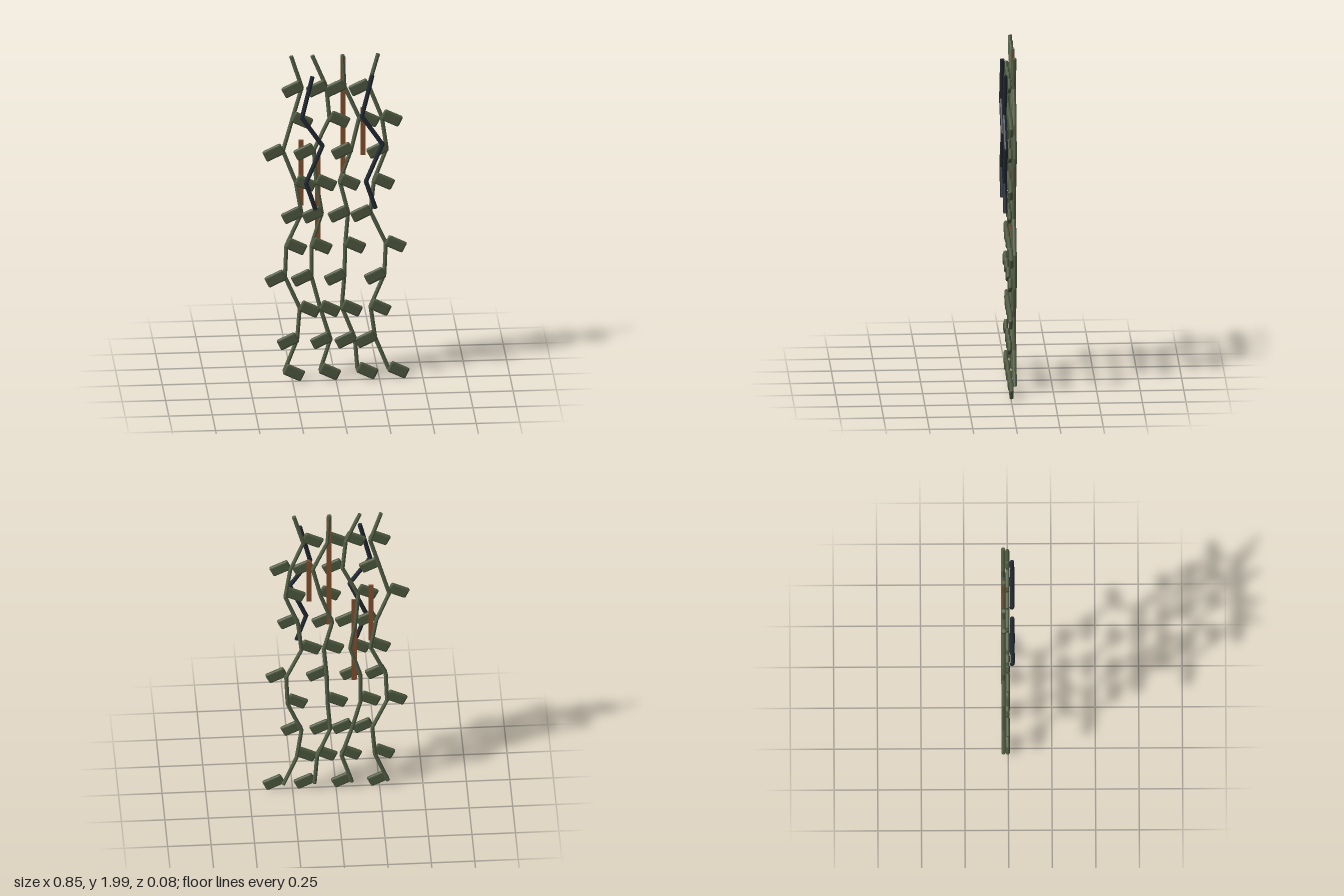
import * as THREE from 'three';
import { RoundedBoxGeometry } from 'three/addons/geometries/RoundedBoxGeometry.js';

const mat = (color) => new THREE.MeshStandardMaterial({ color, flatShading: true });
const vineMat = mat(0x566249);
const leafMat = mat(0x4d583f);
const darkMat = mat(0x222a32);
const barkMat = mat(0x85512f);

// chain of straight rods through the given points, with small joints between
function rodChain(name, points, radius, material) {
  const group = new THREE.Group();
  group.name = name;
  const up = new THREE.Vector3(0, 1, 0);
  points.forEach((p, i) => {
    if (i === 0) return;
    const dir = p.clone().sub(points[i - 1]);
    const rod = new THREE.Mesh(new THREE.CylinderGeometry(radius, radius, dir.length(), 8), material);
    rod.name = name + 'Segment';
    rod.position.copy(p).addScaledVector(dir, -0.5);
    rod.quaternion.setFromUnitVectors(up, dir.normalize());
    group.add(rod);
    if (i < points.length - 1) {
      const joint = new THREE.Mesh(new THREE.SphereGeometry(radius, 8, 6), material);
      joint.name = name + 'Joint';
      joint.position.copy(p);
      group.add(joint);
    }
  });
  return group;
}

export function createModel() {
  const model = new THREE.Group();
  model.name = 'hangingVines';

  // x of each vine node, from the top down
  const vines = [
    [-0.257, -0.195, -0.25, -0.304, -0.23, -0.197, -0.284, -0.292, -0.207, -0.222, -0.297],
    [-0.135, -0.054, -0.036, -0.126, -0.112, -0.08, -0.138, -0.14, -0.09, -0.03, -0.09],
    [0.04, 0.05, 0.135, 0.09, 0.023, 0.071, 0.055, 0.05, 0.035, 0.11, 0.125],
    [0.244, 0.19, 0.265, 0.293, 0.22, 0.2, 0.288, 0.28, 0.2, 0.227, 0.304],
  ];
  const nodeY = (i) => 1.997 - i * 0.1937;
  const leafGeo = new RoundedBoxGeometry(0.117, 0.069, 0.024, 2, 0.0115);

  vines.forEach((xs) => {
    const points = xs.map((x, i) => new THREE.Vector3(x, nodeY(i), -0.027));
    model.add(rodChain('vine', points, 0.0118, vineMat));

    // one leaf per node, alternating left and right and drooping outward
    for (let i = 1; i < xs.length; i++) {
      const side = i % 2 ? -1 : 1;
      const leaf = new THREE.Mesh(leafGeo, leafMat);
      leaf.name = 'leaf';
      leaf.position.set(xs[i] + side * 0.055, nodeY(i), -0.003);
      leaf.rotation.z = -side * 0.45;
      model.add(leaf);
    }
  });

  // dark zigzag stems in front
  const zigzag = [[-0.138, 1.885], [-0.198, 1.635], [-0.08, 1.46], [-0.175, 1.235], [-0.12, 1.068]];
  [0, 0.345].forEach((dx) => {
    const points = zigzag.map(([x, y], i) => new THREE.Vector3(x + dx, y, i % 2 ? 0.026 : 0.023));
    model.add(rodChain('darkStem', points, 0.013, darkMat));
  });

  // narrow hanging bark strips: x, bottom, top
  [[-0.2, 1.08, 1.48], [-0.103, 0.8, 1.38], [0.042, 1.21, 1.985], [0.157, 1.38, 1.67]].forEach(([x, y0, y1]) => {
    const strip = new THREE.Mesh(new THREE.BoxGeometry(0.03, y1 - y0, 0.01), barkMat);
    strip.name = 'barkStrip';
    strip.position.set(x, (y0 + y1) / 2, -0.026);
    model.add(strip);
  });

  return model;
}
